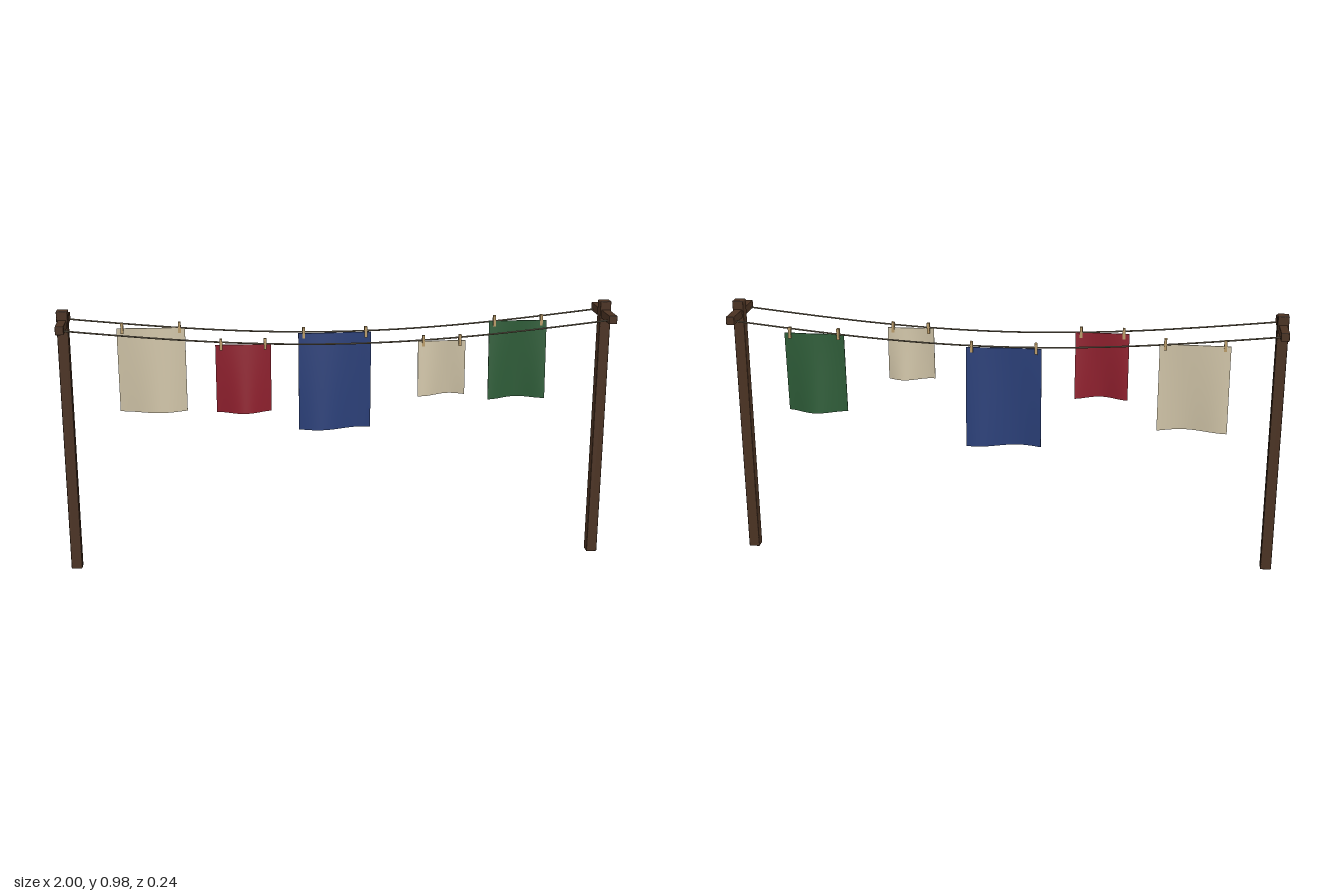
import * as THREE from 'three';
import { RoundedBoxGeometry } from 'three/addons/geometries/RoundedBoxGeometry.js';

const mat = (name, color) => Object.assign(new THREE.MeshStandardMaterial({ color }), { name });

export function createModel() {
  const wood = mat('dark wood', 0x4a3222);
  const rope = mat('rope', 0x665a42);
  const pegWood = mat('peg wood', 0xb89a68);
  const cream = mat('cream cloth', 0xcdc1a5);
  const red = mat('red cloth', 0x8e1f2d);
  const blue = mat('blue cloth', 0x2a3f78);
  const green = mat('green cloth', 0x2e5c38);

  const model = new THREE.Group();
  model.name = 'clothesline';
  const add = (parent, name, geometry, material, x, y, z) => {
    const mesh = new THREE.Mesh(geometry, material);
    mesh.name = name;
    mesh.position.set(x, y, z);
    parent.add(mesh);
    return mesh;
  };

  // Posts with crossbars
  for (const [side, x] of [['left', 0.98], ['right', -0.98]]) {
    add(model, side + 'Post', new RoundedBoxGeometry(0.04, 0.98, 0.04, 1, 0.003), wood, x, 0.49, 0);
    add(model, side + 'Crossbar', new RoundedBoxGeometry(0.03, 0.03, 0.244, 1, 0.002), wood, x, 0.933, 0);
  }

  // Sagging lines
  const lineZ = 0.097;
  for (const [name, z] of [['frontLine', lineZ], ['backLine', -lineZ]]) {
    const points = [];
    for (let i = 0; i <= 20; i++) {
      const t = i / 20;
      points.push(new THREE.Vector3(-0.98 + 1.96 * t, 0.928 - 0.067 * Math.sin(Math.PI * t), z));
    }
    add(model, name, new THREE.TubeGeometry(new THREE.CatmullRomCurve3(points), 60, 0.003, 8), rope, 0, 0, 0);
  }

  // A thin sheet whose wave grows towards the bottom hem
  const clothGeometry = (width, height, turns, phase) => {
    const g = new THREE.BoxGeometry(width, height, 0.004, 24, 14, 1);
    const p = g.attributes.position;
    for (let i = 0; i < p.count; i++) {
      const u = p.getX(i) / width + 0.5;
      const drop = 0.5 - p.getY(i) / height;
      p.setZ(i, p.getZ(i) + (0.002 + 0.017 * drop) * Math.sin(turns * u + phase));
    }
    g.translate(0, -height / 2, 0);
    g.computeVertexNormals();
    return g;
  };

  // Laundry: name, material, x from, x to, top, bottom, z, wave turns, wave phase
  const laundry = [
    ['largeCreamCloth', cream, -0.8, -0.552, 0.888, 0.57, -lineZ, 5.0, -1.5],
    ['redCloth', red, -0.443, -0.247, 0.866, 0.616, lineZ, 5.6, -1.3],
    ['blueCloth', blue, -0.138, 0.132, 0.857, 0.487, -lineZ, 5.5, -0.08],
    ['smallCreamCloth', cream, 0.278, 0.45, 0.865, 0.666, lineZ, 5.2, 1.2],
    ['greenCloth', green, 0.573, 0.79, 0.889, 0.592, -lineZ, 6.0, 1.6],
  ];
  for (const [name, material, x0, x1, top, bottom, z, turns, phase] of laundry) {
    const item = new THREE.Group();
    item.name = name + 'Group';
    item.position.set((x0 + x1) / 2, top, z);
    model.add(item);
    const width = x1 - x0;
    add(item, name, clothGeometry(width, top - bottom, turns, phase), material, 0, 0, 0);
    // Pegs near both top corners
    for (const s of [-1, 1]) {
      add(item, 'peg', new THREE.BoxGeometry(0.01, 0.04, 0.014), pegWood, s * (width / 2 - 0.02), 0.001, 0);
    }
  }
  return model;
}
